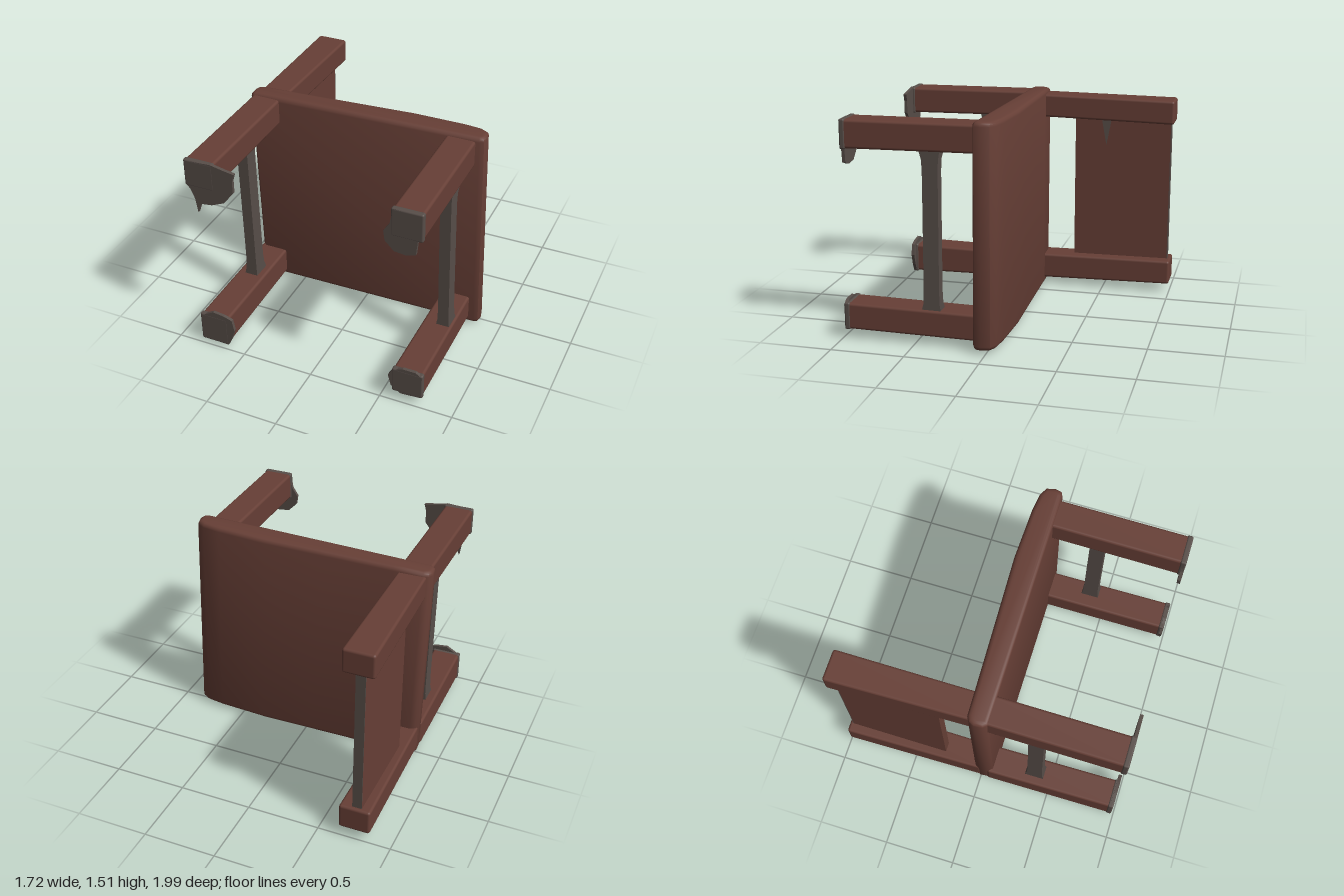
import * as THREE from 'three';
import { toCreasedNormals } from 'three/addons/utils/BufferGeometryUtils.js';
import { RoundedBoxGeometry } from 'three/addons/geometries/RoundedBoxGeometry.js';

const wood = new THREE.MeshStandardMaterial({ color: 0x673f36 });
wood.name = 'reddish brown wood';
const grey = new THREE.MeshStandardMaterial({ color: 0x584e49 });
grey.name = 'worn grey';

// Move every vertex of a geometry by a rule
function warp(geometry, rule) {
  const p = geometry.attributes.position;
  const v = new THREE.Vector3();
  for (let i = 0; i < p.count; i++) {
    rule(v.fromBufferAttribute(p, i));
    p.setXYZ(i, v.x, v.y, v.z);
  }
  return geometry;
}

// Rounded bar along z whose section slides from a = [x0, x1, y0, y1] to b
function barZ(a, b, z0, z1, r = 0.018) {
  const g = new RoundedBoxGeometry(1, 1, 1, 2, 0.0001);
  g.dispose();
  const w = a[1] - a[0], h = a[3] - a[2], d = z1 - z0;
  return warp(new RoundedBoxGeometry(w, h, d, 2, r), (v) => {
    const t = v.z / d + 0.5, s = [0, 1, 2, 3].map((i) => THREE.MathUtils.lerp(a[i], b[i], t));
    v.set(s[0] + (v.x / w + 0.5) * (s[1] - s[0]), s[2] + (v.y / h + 0.5) * (s[3] - s[2]), z0 + t * d);
  });
}

// The seat leans a little out of square
function skew(v) {
  const k = (v.x + 0.85) / 1.7, t = v.y / 1.5;
  v.x -= 0.035 * (t - 0.5);
  v.y = THREE.MathUtils.lerp(0.015 + 0.02 * k, 1.49 + 0.035 * k, t);
}

// Upright seat slab: profile in x and -z, drawn up along y
function seatGeometry() {
  const profile = [
    [-0.85, 0], [-0.845, -0.06], [-0.82, -0.088], [0.8, -0.088], [0.83, -0.075], [0.84, -0.03],
    [0.825, 0.03], [0.77, 0.06], [0.65, 0.075], [0.3, 0.088], [-0.1, 0.075], [-0.6, 0.06], [-0.8, 0.055], [-0.835, 0.035],
  ];
  const b = 0.03;
  const g = new THREE.ExtrudeGeometry(new THREE.Shape(profile.map((q) => new THREE.Vector2(...q))), {
    depth: 1.5 - 2 * b, bevelSize: b, bevelThickness: b, bevelOffset: -b, bevelSegments: 3,
  });
  g.translate(0, 0, b).rotateX(-Math.PI / 2);
  return toCreasedNormals(warp(g, skew), 0.7);
}

// Flat ragged patch in the xy plane
function patch(points, depth) {
  return new THREE.ExtrudeGeometry(new THREE.Shape(points.map((q) => new THREE.Vector2(...q))), { depth, bevelEnabled: false });
}

export function createModel() {
  const model = new THREE.Group();
  const add = (name, geometry, material) => {
    const mesh = new THREE.Mesh(geometry, material);
    mesh.name = name;
    model.add(mesh);
    return mesh;
  };

  add('seat', seatGeometry(), wood);
  add('seatEdgeWear', warp(new THREE.BoxGeometry(1.2, 0.006, 0.08).translate(-0.2, 0, 0.01), skew), grey);

  // Legs, each with a worn grey tip
  const legs = {
    backLegUpper: [[-0.84, -0.64, 1.3, 1.48], [-0.84, -0.64, 1.29, 1.475]],
    backLegLower: [[-0.84, -0.64, 0.05, 0.235], [-0.83, -0.63, 0.04, 0.25]],
    frontLegUpper: [[0.56, 0.76, 1.31, 1.495], [0.56, 0.76, 1.3, 1.49]],
    frontLegLower: [[0.58, 0.78, 0.07, 0.25], [0.58, 0.785, 0.08, 0.26]],
  };
  for (const [name, [a, b]] of Object.entries(legs)) {
    add(name, barZ(a, b, 0.05, 0.965), wood);
    const tip = [b[0] - 0.004, b[1] + 0.004, b[2] - 0.004, b[3] + 0.004];
    add(name + 'Tip', barZ(tip, tip, 0.945, 0.985, 0.012), grey);
  }

  // Ragged grey splinters spreading from the leg tips
  const splinters = {
    backLegUpper: [[-0.84, 1.3], [-0.81, 1.27], [-0.78, 1.2], [-0.765, 1.1], [-0.74, 1.17], [-0.66, 1.18], [-0.57, 1.22],
      [-0.5, 1.31], [-0.5, 1.4], [-0.485, 1.45], [-0.55, 1.46], [-0.65, 1.48], [-0.83, 1.47]],
    frontLegUpper: [[0.51, 1.32], [0.52, 1.25], [0.58, 1.19], [0.66, 1.18], [0.72, 1.2], [0.73, 1.3], [0.75, 1.34], [0.74, 1.48],
      [0.57, 1.49], [0.55, 1.38]],
    backLegLower: [[-0.8, 0.05], [-0.63, 0.04], [-0.6, 0.1], [-0.575, 0.18], [-0.59, 0.26], [-0.65, 0.28], [-0.73, 0.29], [-0.8, 0.25]],
    frontLegLower: [[0.55, 0.2], [0.57, 0.12], [0.64, 0.07], [0.77, 0.08], [0.785, 0.25], [0.74, 0.28], [0.65, 0.28], [0.58, 0.25]],
  };
  for (const [name, points] of Object.entries(splinters)) {
    add(name + 'Splinter', patch(points, 0.022), grey).position.z = 0.962;
  }

  // Stretchers between the upper and lower legs, flared at both ends
  for (const [name, x0, x1] of [['backStretcher', -0.73, -0.745], ['frontStretcher', 0.72, 0.7]]) {
    const g = warp(new THREE.BoxGeometry(0.075, 1.1, 0.105, 1, 16, 1), (v) => {
      const t = v.y / 1.1 + 0.5, f = 1 + 0.35 * Math.pow(Math.abs(2 * t - 1), 12);
      v.set(THREE.MathUtils.lerp(x0, x1, t) + v.x * f, 0.22 + t * 1.1, 0.385 + v.z * f);
    });
    add(name, g, grey);
  }

  // Backrest posts and panel
  add('backPostUpper', barZ([-0.855, -0.64, 1.28, 1.45], [-0.835, -0.645, 1.3, 1.465], -1, 0), wood);
  add('backPostLower', barZ([-0.855, -0.64, 0.08, 0.255], [-0.835, -0.645, 0.06, 0.245], -1, 0), wood);
  add('backPanel', new THREE.BoxGeometry(0.065, 1.08, 0.7).translate(-0.757, 0.77, -0.62), wood);
  add('backPanelEdge', new THREE.BoxGeometry(0.065, 1.04, 0.006).translate(-0.757, 0.77, -0.972), grey);

  // Small worn mark on the panel
  const mark = add('panelMark', patch([[-0.035, 0], [0, -0.19], [0.035, 0]], 0.006), grey);
  mark.position.set(-0.727, 1.285, -0.5);
  mark.rotation.y = Math.PI / 2;

  return model;
}
